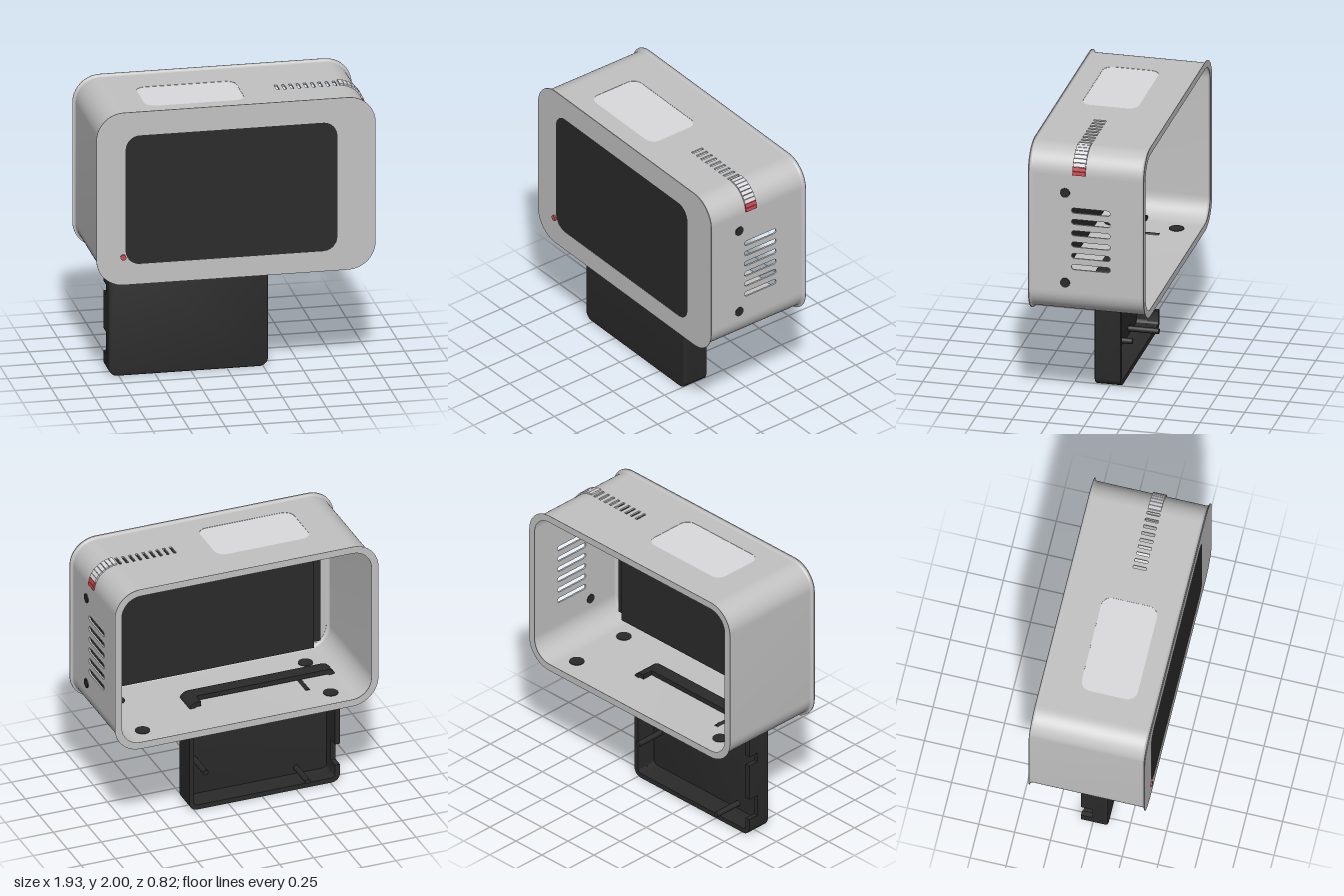
import * as THREE from 'three';
import { toCreasedNormals } from 'three/addons/utils/BufferGeometryUtils.js';

const mat = (name, color) => {
  const m = new THREE.MeshStandardMaterial({ color });
  m.name = name;
  return m;
};

export function createModel() {
  const model = new THREE.Group();
  const grey = mat('shell grey', 0xc2c2c2);
  const pale = mat('pale grey', 0xdadade);
  const dark = mat('charcoal', 0x2a2a2a);
  const red = mat('signal red', 0xcc4a50);
  const PI = Math.PI;

  const add = (name, geo, material, parent = model) => {
    const mesh = new THREE.Mesh(geo, material);
    mesh.name = name;
    parent.add(mesh);
    return mesh;
  };
  const group = (name) => {
    const g = new THREE.Group();
    g.name = name;
    model.add(g);
    return g;
  };
  const extrude = (shape, z0, z1) => {
    const g = new THREE.ExtrudeGeometry(shape, { depth: z1 - z0, bevelEnabled: false, curveSegments: 10 });
    g.translate(0, 0, z0);
    return toCreasedNormals(g, 0.5);
  };
  const box = (name, x0, x1, y0, y1, z0, z1, m, parent) => {
    const g = new THREE.BoxGeometry(x1 - x0, y1 - y0, z1 - z0);
    g.translate((x0 + x1) / 2, (y0 + y1) / 2, (z0 + z1) / 2);
    return add(name, g, m, parent);
  };
  const roundRect = (x0, x1, y0, y1, r, P = THREE.Shape) => {
    const s = new P();
    s.moveTo(x0 + r, y0);
    s.lineTo(x1 - r, y0);
    s.absarc(x1 - r, y0 + r, r, -PI / 2, 0);
    s.lineTo(x1, y1 - r);
    s.absarc(x1 - r, y1 - r, r, 0, PI / 2);
    s.lineTo(x0 + r, y1);
    s.absarc(x0 + r, y1 - r, r, PI / 2, PI);
    s.lineTo(x0, y0 + r);
    s.absarc(x0 + r, y0 + r, r, PI, 1.5 * PI);
    return s;
  };

  // Housing: thin shell, corner centres at +-CX, Y0 and Y1
  const CX = 0.777, Y0 = 0.95, Y1 = 1.81, R = 0.17, T = 0.012, r = R - T, F = 0.02;
  const housing = group('housing');

  const wrap = new THREE.Shape();
  wrap.moveTo(-CX, Y1 + R);
  wrap.absarc(-CX, Y1, R, PI / 2, PI);
  wrap.lineTo(-CX - R, Y0);
  wrap.absarc(-CX, Y0, R, PI, 1.5 * PI);
  wrap.lineTo(CX, Y0 - R);
  wrap.absarc(CX, Y0, R, -PI / 2, 0);
  wrap.lineTo(CX + r, Y0);
  wrap.absarc(CX, Y0, r, 0, -PI / 2, true);
  wrap.lineTo(-CX, Y0 - r);
  wrap.absarc(-CX, Y0, r, 1.5 * PI, PI, true);
  wrap.lineTo(-CX - r, Y1);
  wrap.absarc(-CX, Y1, r, PI, PI / 2, true);
  add('floorAndRightWall', extrude(wrap, -0.39, 0.38), grey, housing);

  const corner = new THREE.Shape();
  corner.absarc(CX, Y1, R, 0, PI / 2);
  corner.lineTo(CX, Y1 + r);
  corner.absarc(CX, Y1, r, PI / 2, 0, true);
  add('upperLeftCorner', extrude(corner, -0.39, 0.38), grey, housing);

  // Side wall with ventilation slots (shape x is -z)
  const side = new THREE.Shape();
  side.moveTo(-0.38, Y0);
  side.lineTo(0.39, Y0);
  side.lineTo(0.39, Y1);
  side.lineTo(-0.38, Y1);
  for (let i = 0; i < 6; i++) {
    const y = 1.14 + i * 0.083;
    side.holes.push(roundRect(-0.1, 0.17, y - 0.019, y + 0.019, 0.0185, THREE.Path));
  }
  add('slottedSideWall', extrude(side, CX + r, CX + R).rotateY(PI / 2), grey, housing);

  // Top wall with a pale window and a row of open slots (shape y is -z)
  const top = new THREE.Shape();
  top.moveTo(-CX, -0.38);
  top.lineTo(CX, -0.38);
  top.lineTo(CX, 0.39);
  top.lineTo(-CX, 0.39);
  top.holes.push(roundRect(-0.59, 0.1, -0.245, 0.145, 0.07, THREE.Path));
  for (let i = 0; i < 9; i++) {
    const x = 0.355 + i * 0.05;
    top.holes.push(roundRect(x - 0.01, x + 0.01, -0.092, -0.002, 0.001, THREE.Path));
  }
  add('topWall', extrude(top, Y1 + r, Y1 + R).rotateX(-PI / 2), grey, housing);
  add('topWindow', extrude(roundRect(-0.59, 0.1, -0.245, 0.145, 0.07), 1.972, 1.978).rotateX(-PI / 2), pale);

  // Rims flared inwards and outwards, lofted from rounded outlines [grow, z]
  const outline = (grow) => {
    const pts = [];
    [[CX, Y1], [-CX, Y1], [-CX, Y0], [CX, Y0]].forEach(([x, y], k) => {
      for (let i = 0; i <= 10; i++) {
        const a = (k + i / 10) * PI / 2;
        pts.push([x + Math.cos(a) * (R + grow), y + Math.sin(a) * (R + grow)]);
      }
    });
    return pts;
  };
  const rim = (zEnd, dir) => {
    const rings = [], pos = [], idx = [], n = 44;
    const fillet = (i) => {
      const a = (i / 5) * PI / 2;
      return [F * (1 - Math.sin(a)), zEnd + dir * (0.002 + F * (1 - Math.cos(a)))];
    };
    for (let i = 5; i >= 0; i--) rings.push([-T - fillet(i)[0], fillet(i)[1]]);
    rings.push([-T - F, zEnd], [F, zEnd]);
    for (let i = 0; i <= 5; i++) rings.push(fillet(i));
    rings.forEach(([g, z]) => outline(g).forEach(([x, y]) => pos.push(x, y, z)));
    for (let j = 0; j < rings.length - 1; j++) {
      for (let i = 0; i < n; i++) {
        const a = j * n + i, b = j * n + (i + 1) % n, c = a + n, d = b + n;
        if (dir < 0) idx.push(a, c, b, b, c, d);
        else idx.push(a, b, c, b, d, c);
      }
    }
    const g = new THREE.BufferGeometry();
    g.setAttribute('position', new THREE.Float32BufferAttribute(pos, 3));
    g.setIndex(idx);
    return toCreasedNormals(g, 0.6);
  };
  add('backRim', rim(-0.41, 1), grey, housing);
  add('frontRim', rim(0.396, -1), grey, housing);

  // Front plate with the screen opening
  const plate = roundRect(-CX - R - F, CX + R + F, Y0 - R - F, Y1 + R + F, R + F);
  plate.holes.push(roundRect(-0.765, 0.702, 0.905, 1.83, 0.1, THREE.Path));
  add('frontPlate', extrude(plate, 0.395, 0.4), grey, housing);

  // Screen with its stepped backing
  add('screen', extrude(roundRect(-0.765, 0.702, 0.905, 1.83, 0.1), 0.37, 0.399), dark);
  box('screenBacking', -0.84, 0.84, 0.88, 1.86, 0.32, 0.385, dark);
  box('screenModule', -0.78, 0.78, 0.855, 1.89, 0.285, 0.32, dark);

  // Indicator bars round the upper corner, ending in red
  const strip = group('indicatorStrip');
  for (let i = 0; i < 9; i++) {
    const a = 0.12 + i * 0.168;
    const bar = add(i < 2 ? 'redBar' : 'cornerBar', new THREE.BoxGeometry(0.03, 0.027, 0.09), i < 2 ? red : pale, strip);
    bar.position.set(CX + Math.cos(a) * 0.166, Y1 + Math.sin(a) * 0.166, 0.047);
    bar.rotation.z = a;
  }

  // Front indicator, side plugs and feet
  const disc = (name, rad, len, x, y, z, axis, m) => {
    const g = new THREE.CylinderGeometry(rad, rad, len, 24);
    if (axis === 'x') g.rotateZ(PI / 2);
    if (axis === 'z') g.rotateX(PI / 2);
    add(name, g, m).position.set(x, y, z);
  };
  disc('frontIndicator', 0.02, 0.03, -0.782, 0.96, 0.395, 'z', red);
  for (const y of [1.02, 1.68]) disc('sidePlug', 0.034, 0.022, 0.941, y, 0.145, 'x', dark);
  for (const x of [-0.69, 0.69]) {
    for (const z of [-0.23, 0.22]) disc('foot', 0.052, 0.032, x, 0.78, z, 'y', dark);
  }

  // Lower tray, open at the back
  const tray = group('lowerTray');
  const face = new THREE.ExtrudeGeometry(roundRect(-0.808, 0.273, 0.012, 0.823, 0.05),
    { depth: 0.008, bevelThickness: 0.012, bevelSize: 0.012, bevelSegments: 3, curveSegments: 8 });
  face.translate(0, 0, 0.085);
  add('trayFace', toCreasedNormals(face, 0.6), dark, tray);
  const ring = roundRect(-0.82, 0.285, 0, 0.835, 0.06);
  ring.holes.push(roundRect(-0.785, 0.25, 0.035, 0.8, 0.03, THREE.Path));
  add('trayFrame', extrude(ring, 0, 0.088), dark, tray);
  const wall = new THREE.Shape();
  wall.moveTo(-0.82, 0.13);
  wall.lineTo(-0.82, 0.06);
  wall.absarc(-0.76, 0.06, 0.06, PI, 1.5 * PI);
  wall.lineTo(0.225, 0);
  wall.absarc(0.225, 0.06, 0.06, -PI / 2, 0);
  wall.lineTo(0.285, 0.775);
  wall.absarc(0.225, 0.775, 0.06, 0, PI / 2);
  wall.lineTo(0.2, 0.835);
  wall.lineTo(0.2, 0.8);
  wall.lineTo(0.225, 0.8);
  wall.absarc(0.225, 0.775, 0.025, PI / 2, 0, true);
  wall.lineTo(0.25, 0.06);
  wall.absarc(0.225, 0.06, 0.025, 0, -PI / 2, true);
  wall.lineTo(-0.76, 0.035);
  wall.absarc(-0.76, 0.06, 0.025, -PI / 2, -PI, true);
  wall.lineTo(-0.785, 0.13);
  add('trayWall', extrude(wall, -0.08, 0), dark, tray);
  for (const [a, b] of [[0.29, 0.56], [0.63, 0.78]]) box('trayTab', -0.82, -0.785, a, b, -0.08, 0, dark, tray);

  // Mounting pegs inside the tray
  for (const [x, y] of [[0.19, 0.73], [0.19, 0.31], [-0.56, 0.78], [-0.56, 0.08]]) {
    const peg = add('mountingPeg', new THREE.CylinderGeometry(0.02, 0.02, 0.23, 16).rotateX(PI / 2), dark, tray);
    peg.position.set(x, y, -0.025);
  }
  return model;
}
